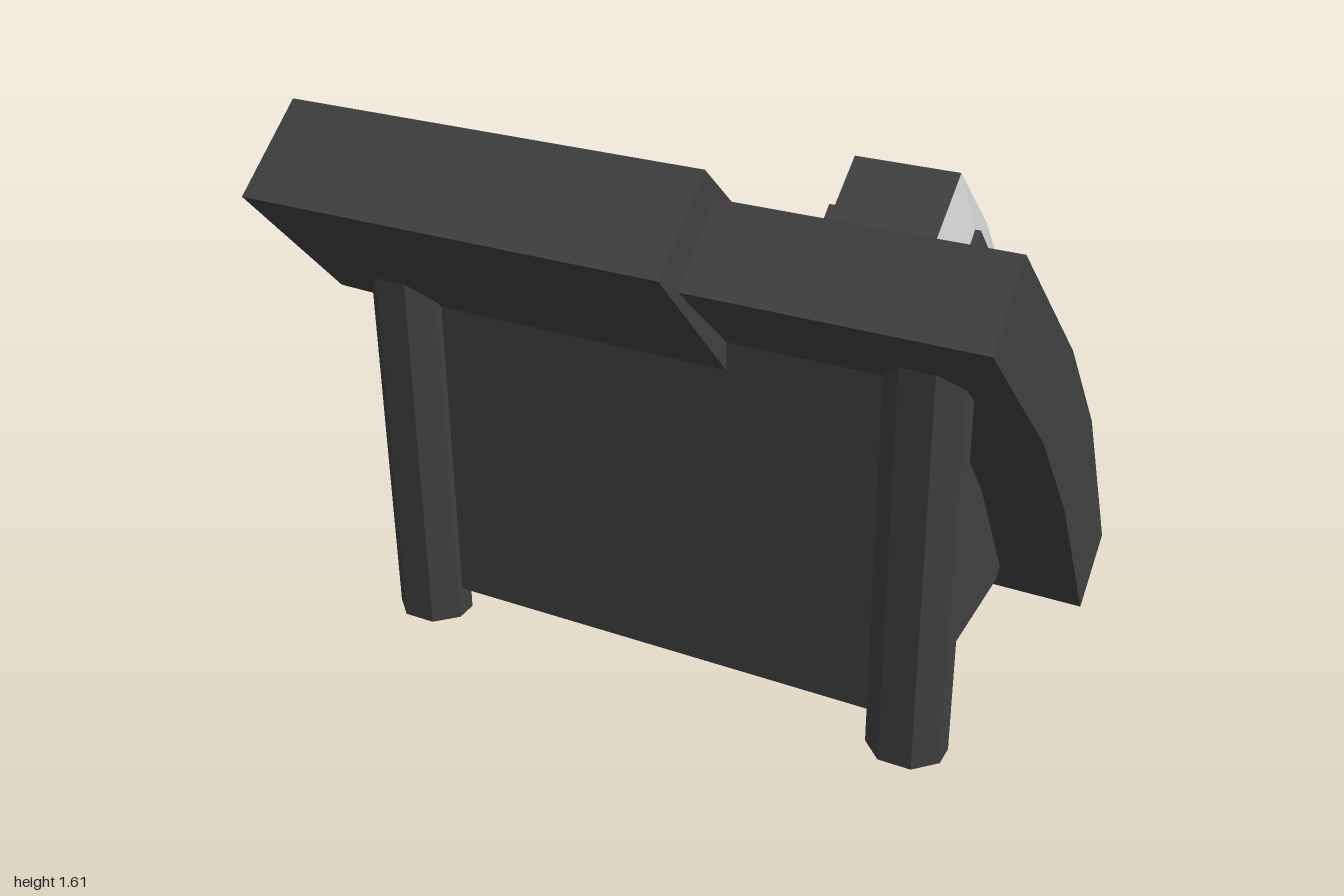
import * as THREE from 'three';

const dark = new THREE.MeshStandardMaterial({ color: 0x404040 });
const light = new THREE.MeshStandardMaterial({ color: 0xcccccc });
const teal = new THREE.MeshStandardMaterial({ color: 0x5accca });

// Side profile given as [z, y] points, extruded from x0 to x1
function prism(name, pts, x0, x1, mat = dark) {
  const shape = new THREE.Shape(pts.map(([z, y]) => new THREE.Vector2(z, y)));
  const geo = new THREE.ExtrudeGeometry(shape, { depth: x1 - x0, bevelEnabled: false });
  geo.rotateY(-Math.PI / 2).translate(x1, 0, 0);
  const mesh = new THREE.Mesh(geo, mat);
  mesh.name = name;
  return mesh;
}

// Rectangle with cut corners, centred on the origin
function cutRect(w, h, cx, cy) {
  const a = w / 2, b = h / 2;
  return new THREE.Shape([
    [a, -b + cy], [a, b - cy], [a - cx, b], [-a + cx, b],
    [-a, b - cy], [-a, -b + cy], [-a + cx, -b], [a - cx, -b],
  ].map(([x, y]) => new THREE.Vector2(x, y)));
}

// Flat-shaded quads (corners counter-clockwise from outside)
function quads(name, list, mat) {
  const pos = [];
  for (const [a, b, c, d] of list) pos.push(...a, ...b, ...c, ...a, ...c, ...d);
  const geo = new THREE.BufferGeometry();
  geo.setAttribute('position', new THREE.Float32BufferAttribute(pos, 3));
  geo.computeVertexNormals();
  const mesh = new THREE.Mesh(geo, mat);
  mesh.name = name;
  return mesh;
}

// Key: a low block narrowing towards its top
function keyGeometry(w, h, d) {
  const geo = new THREE.BoxGeometry(w, h, d).toNonIndexed();
  const p = geo.attributes.position;
  for (let i = 0; i < p.count; i++) {
    if (p.getY(i) > 0) {
      p.setX(i, p.getX(i) - Math.sign(p.getX(i)) * 0.015);
      p.setZ(i, p.getZ(i) * 0.9);
    }
  }
  geo.computeVertexNormals();
  return geo;
}

export function createModel() {
  const model = new THREE.Group();
  model.name = 'deskPhone';

  // Bent slab carrying the keys and handset
  const face = [[-0.71, 0.15], [-0.4, 0.7], [-0.1, 1.05], [0.42, 1.515]];
  model.add(prism('body', [
    ...face, [0.615, 1.345], [0.11, 0.88], [-0.19, 0.52], [-0.52, 0],
  ].reverse(), -0.97, 1));

  // Thicker housing round the display
  model.add(prism('displayHousing', [
    [0.47, 1.605], [-0.07, 1.12], [-0.1, 1.05], [0.11, 0.88], [0.35, 1.02], [0.71, 1.41],
  ], -1, 0.22));

  // Display panel lying on the housing
  const slope = Math.atan2(1.605 - 1.12, 0.54);
  const screen = new THREE.Mesh(
    new THREE.ExtrudeGeometry(cutRect(0.77, 0.46, 0.08, 0.075), { depth: 0.02, bevelEnabled: false })
      .rotateX(-Math.PI / 2).translate(0, -0.012, 0), teal);
  screen.name = 'display';
  screen.position.set(-0.395, 1.605 - 0.26 * Math.tan(slope), 0.21);
  screen.rotation.x = -slope;
  model.add(screen);

  // Stand wedge under the slab
  model.add(prism('standWedge', [
    [0.35, 0.09], [0.35, 1.13], [0.11, 0.95], [-0.19, 0.58], [-0.46, 0.15], [-0.42, 0.09],
  ], -0.76, 0.76));

  // Legs
  for (const x of [-0.767, 0.763]) {
    const leg = new THREE.Mesh(
      new THREE.ExtrudeGeometry(cutRect(0.215, 0.185, 0.06, 0.06), { depth: 1.2, bevelEnabled: false })
        .rotateX(-Math.PI / 2), dark);
    leg.name = 'leg';
    leg.position.set(x, 0, 0.338);
    model.add(leg);
  }

  // Keys: three full rows and one single key
  const keys = new THREE.Group();
  keys.name = 'keys';
  const rows = [
    { z: -0.54, y: 0.452, tilt: 1.055, depth: 0.15, count: 3 },
    { z: -0.393, y: 0.7, tilt: 0.96, depth: 0.165, count: 3 },
    { z: -0.243, y: 0.883, tilt: 0.862, depth: 0.14, count: 3 },
    { z: -0.103, y: 1.046, tilt: 0.8, depth: 0.12, count: 1 },
  ];
  const edges = [-0.88, -0.56, -0.19, 0.13];
  for (const r of rows) {
    for (let i = 0; i < r.count; i++) {
      const key = new THREE.Mesh(keyGeometry(edges[i + 1] - edges[i], 0.07, r.depth), light);
      key.name = 'key';
      key.position.set((edges[i] + edges[i + 1]) / 2, r.y, r.z);
      key.rotation.x = -r.tilt;
      keys.add(key);
    }
  }
  model.add(keys);

  // Cradle below the handset
  const inner = [[0.196, 1.33], [0.094, 1.417], [-0.06, 1.26], [-0.51, 0.736], [-0.57, 0.557], [-0.53, 0.47]];
  model.add(prism('cradle', [...inner, [-0.35, 0.6], [-0.05, 0.95]], 0.385, 0.79));
  model.add(prism('cradleSidePanel', [
    [0.05, 1.16], [0.05, 1.34], [-0.06, 1.23], [-0.43, 0.8], [-0.38, 0.7], [-0.1, 1.02],
  ], 0.379, 0.4, light));

  // Handset: dark back, light side bands tapering outwards
  const outer = [[0.29, 1.41], [0.094, 1.557], [-0.145, 1.34], [-0.6, 0.79], [-0.69, 0.55], [-0.595, 0.36]];
  const at = (x, [z, y]) => [x, y, z];
  const back = [], sides = [];
  for (let i = 0; i < outer.length - 1; i++) {
    const [o, p, n, m] = [outer[i], outer[i + 1], inner[i], inner[i + 1]];
    back.push([at(0.45, o), at(0.73, o), at(0.73, p), at(0.45, p)]);
    sides.push([at(0.73, o), at(0.775, n), at(0.775, m), at(0.73, p)]);
    sides.push([at(0.45, o), at(0.45, p), at(0.41, m), at(0.41, n)]);
    // Underside between the bands
    back.push([at(0.41, n), at(0.41, m), at(0.775, m), at(0.775, n)]);
  }
  const handset = new THREE.Group();
  handset.name = 'handset';
  handset.add(quads('handsetBack', back, dark), quads('handsetSides', sides, light));
  model.add(handset);

  return model;
}
